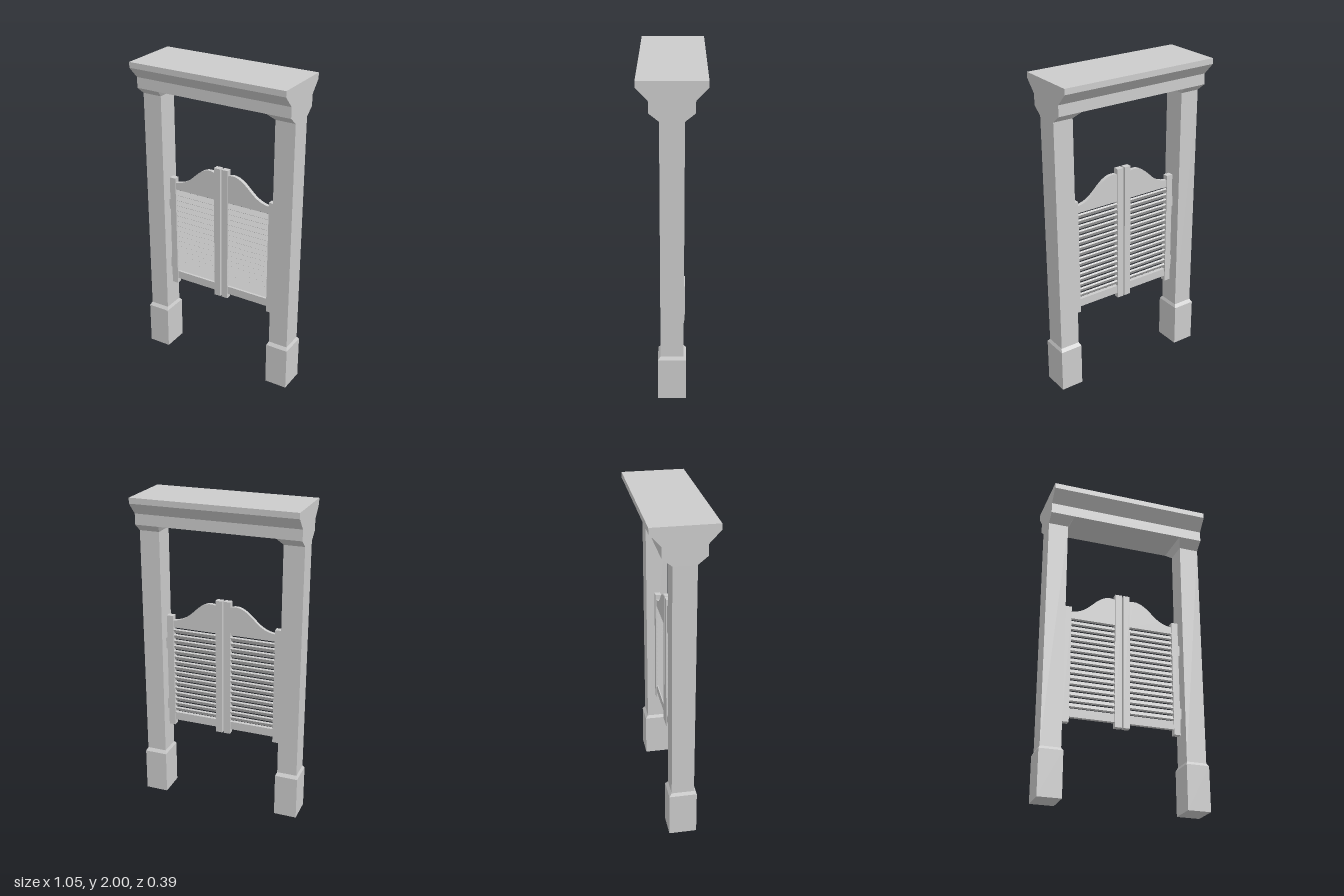
import * as THREE from 'three';

const material = new THREE.MeshStandardMaterial({ color: 0xcccccc, flatShading: true });

function add(parent, name, geometry) {
  const mesh = new THREE.Mesh(geometry, material);
  mesh.name = name;
  parent.add(mesh);
  return mesh;
}

// Box given by its limits on x and y and its full depth, centred on z
function block(x0, x1, y0, y1, depth) {
  return new THREE.BoxGeometry(Math.abs(x1 - x0), y1 - y0, depth)
    .translate((x0 + x1) / 2, (y0 + y1) / 2, 0);
}

// Tapered block between a bottom and a top rectangle, each [xa, xb, halfDepth]
function taper(bottom, top, y0, y1) {
  const geometry = new THREE.BoxGeometry(1, 1, 1);
  const p = geometry.attributes.position;
  for (let i = 0; i < p.count; i++) {
    const up = p.getY(i) > 0;
    const [xa, xb, h] = up ? top : bottom;
    const x = p.getX(i) > 0 ? Math.max(xa, xb) : Math.min(xa, xb);
    p.setXYZ(i, x, up ? y1 : y0, p.getZ(i) > 0 ? h : -h);
  }
  geometry.computeVertexNormals();
  return geometry;
}

// Shape extruded by a depth, centred on z
function slab(shape, depth) {
  return new THREE.ExtrudeGeometry(shape, { depth, bevelEnabled: false, curveSegments: 12 })
    .translate(0, 0, -depth / 2);
}

function createPost(s) {
  const post = new THREE.Group();
  const inner = 0.387 * s, outer = 0.513 * s;
  const foot = [0.378 * s, 0.523 * s, 0.085];
  const shaft = [inner, outer, 0.069];
  add(post, 'plinth', taper(foot, foot, 0, 0.278));
  add(post, 'plinthChamfer', taper(foot, shaft, 0.278, 0.298));
  add(post, 'shaft', taper(shaft, shaft, 0.298, 1.778));
  // Flares to the front, back and doorway, flush on the outside
  add(post, 'capital', taper(shaft, [0.362 * s, outer, 0.127], 1.778, 1.825));
  return post;
}

function createDoor(s) {
  const door = new THREE.Group();
  const x0 = 0.048, x1 = 0.333;

  add(door, 'meetingStile', block(0.005 * s, x0 * s, 0.48, 1.372, 0.036));
  add(door, 'hingeStile', block(x1 * s, 0.375 * s, 0.477, 1.235, 0.036));
  add(door, 'bottomRail', block(x0 * s, x1 * s, 0.512, 0.565, 0.024));

  // Top panel with a swan-neck upper edge
  const panel = new THREE.Shape();
  panel.moveTo(x0 * s, 1.158);
  panel.lineTo(x0 * s, 1.337);
  panel.bezierCurveTo(0.07 * s, 1.345, 0.1 * s, 1.348, 0.135 * s, 1.327);
  panel.bezierCurveTo(0.2 * s, 1.292, 0.23 * s, 1.212, x1 * s, 1.205);
  panel.lineTo(x1 * s, 1.158);
  panel.closePath();
  add(door, 'topPanel', slab(panel, 0.024));

  // Louvres lean back at the top
  const slats = 16, pitch = 0.0362;
  for (let i = 0; i < slats; i++) {
    const slat = add(door, 'louvre', new THREE.BoxGeometry(x1 - x0, 0.034, 0.012));
    slat.position.set(s * (x0 + x1) / 2, 0.588 + i * pitch, 0);
    slat.rotation.x = -0.61;
  }

  // Hinges with clipped corners against the post
  for (const y of [0.62, 1.045]) {
    const hinge = new THREE.Shape([
      [0.372, -0.036], [0.382, -0.036], [0.39, -0.03],
      [0.39, 0.03], [0.382, 0.036], [0.372, 0.036],
    ].map(([x, dy]) => new THREE.Vector2(x * s, y + dy)));
    add(door, 'hinge', slab(hinge, 0.022));
  }
  return door;
}

function createLintel() {
  // Half profile as [z, y], mirrored to the back and run along x
  const half = [[0.127, 1.825], [0.127, 1.892], [0.195, 1.965], [0.195, 2]];
  const back = half.map(([z, y]) => [-z, y]).reverse();
  const profile = new THREE.Shape([...half, ...back].map(([z, y]) => new THREE.Vector2(z, y)));
  return slab(profile, 1.026).rotateY(Math.PI / 2);
}

export function createModel() {
  const model = new THREE.Group();
  model.name = 'swingDoorway';
  add(model, 'lintel', createLintel());
  for (const [side, s] of [['left', 1], ['right', -1]]) {
    const post = createPost(s);
    post.name = side + 'Post';
    const door = createDoor(s);
    door.name = side + 'Door';
    model.add(post, door);
  }
  return model;
}
